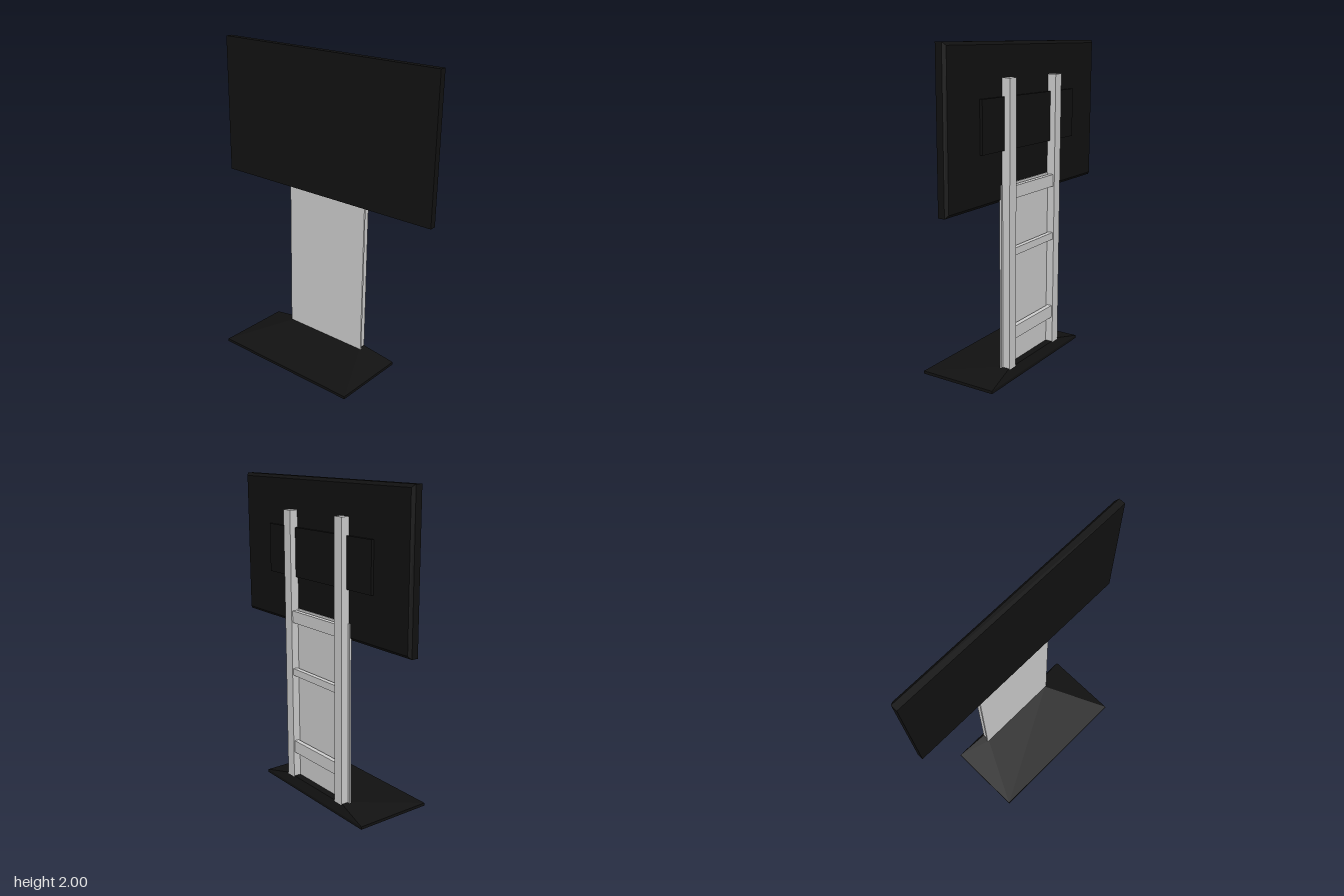
import * as THREE from 'three';

const grey = new THREE.MeshStandardMaterial({ color: 0xcccccc, flatShading: true });
const black = new THREE.MeshStandardMaterial({ color: 0x111111, flatShading: true });

export function createModel() {
  const group = new THREE.Group();

  const add = (name, geometry, material) => {
    const mesh = new THREE.Mesh(geometry, material);
    mesh.name = name;
    group.add(mesh);
    return mesh;
  };

  // Axis-aligned box from its limits
  const boxGeometry = (x0, x1, y0, y1, z0, z1) =>
    new THREE.BoxGeometry(x1 - x0, y1 - y0, z1 - z0)
      .translate((x0 + x1) / 2, (y0 + y1) / 2, (z0 + z1) / 2);
  const box = (name, material, ...limits) => add(name, boxGeometry(...limits), material);

  // Box whose vertices are moved by a rule
  const shapedBox = (name, material, limits, rule) => {
    const geometry = boxGeometry(...limits);
    const p = geometry.attributes.position;
    const v = new THREE.Vector3();
    for (let i = 0; i < p.count; i++) {
      rule(v.fromBufferAttribute(p, i));
      p.setXYZ(i, v.x, v.y, v.z);
    }
    geometry.computeVertexNormals();
    return add(name, geometry, material);
  };

  // Floor plate: thin slab with a sloping top rising to the posts
  box('basePlate', black, -0.255, 0.25, 0, 0.018, -0.51, 0.51);
  shapedBox('baseSlope', black, [-0.255, 0.25, 0.018, 0.068, -0.51, 0.51], (v) => {
    if (v.y > 0.04) {
      v.x = v.x < 0 ? 0.17 : 0.225;
      v.z = Math.sign(v.z) * 0.295;
    }
  });

  // Upright posts
  for (const side of [-1, 1]) {
    const post = box('post', grey, 0.175, 0.228, 0.05, 1.8, -0.035, 0.035);
    post.position.z = side * 0.256;
  }

  // Cross rails between the posts
  for (const [y0, y1] of [[0.235, 0.315], [0.76, 0.805], [1.105, 1.18]]) {
    box('crossRail', grey, 0.19, 0.22, y0, y1, -0.222, 0.222);
  }

  // Cover panel
  box('coverPanel', grey, 0.168, 0.18, 0.05, 1.19, -0.305, 0.305);

  // Screen with chamfered rear edge
  box('screen', black, 0.118, 0.16, 1.09, 2, -0.813, 0.813);
  shapedBox('screenBack', black, [0.16, 0.175, 1.09, 2, -0.813, 0.813], (v) => {
    if (v.x > 0.17) {
      v.y += v.y > 1.5 ? -0.018 : 0.018;
      v.z -= Math.sign(v.z) * 0.018;
    }
  });

  // Raised housing behind the screen
  box('rearHousing', black, 0.17, 0.192, 1.39, 1.695, -0.508, 0.508);

  return group;
}
